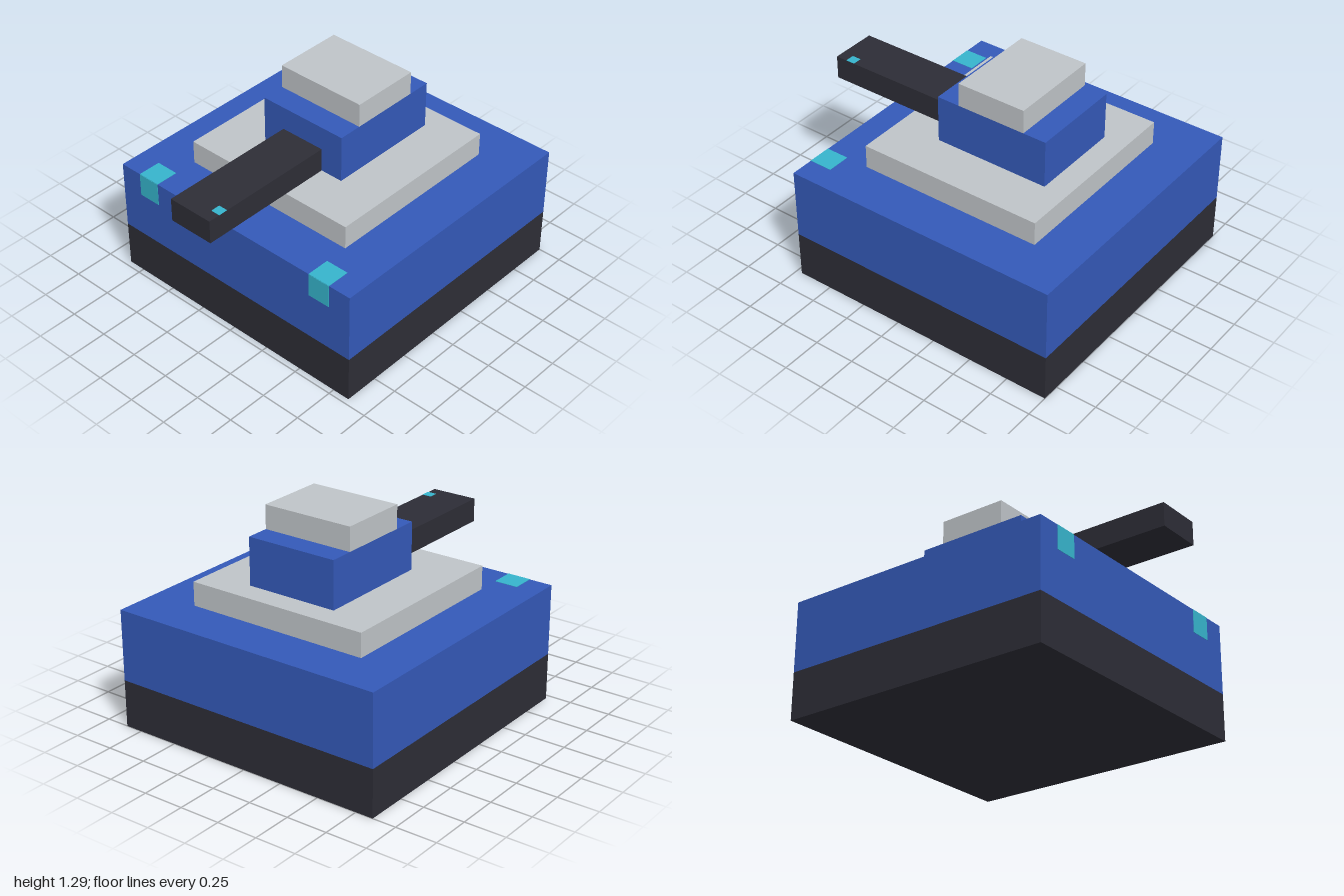
import * as THREE from 'three';

const U = 1 / 7; // block size

function material(name, color) {
  const m = new THREE.MeshStandardMaterial({ color });
  m.name = name;
  return m;
}

export function createModel() {
  const model = new THREE.Group();
  model.name = 'blockTank';
  const blue = material('blue', 0x3459b8);
  const grey = material('lightGrey', 0xbfc4c8);
  const dark = material('charcoal', 0x2d2d36);
  const cyan = material('cyan', 0x36b4cc);

  // Box between two corners given in block units
  function block(name, mat, [x0, y0, z0], [x1, y1, z1], parent = model) {
    const geo = new THREE.BoxGeometry((x1 - x0) * U, (y1 - y0) * U, (z1 - z0) * U);
    const mesh = new THREE.Mesh(geo, mat);
    mesh.position.set((x0 + x1) / 2 * U, (y0 + y1) / 2 * U, (z0 + z1) / 2 * U);
    mesh.name = name;
    parent.add(mesh);
  }

  // Hull
  block('trackBase', dark, [-6, 0, -7], [6, 2, 5]);
  block('hull', blue, [-6, 2, -7], [6, 5, 5]);
  block('deckPlate', grey, [-4, 5, -5], [4, 6, 3]);

  // Turret and gun
  block('turret', blue, [-2, 6, -4], [2, 8, 1]);
  block('hatch', grey, [-2, 8, -3], [2, 9, 0]);
  block('barrel', dark, [-1, 6, 1], [1, 7, 7]);

  // Headlights wrap over the front top edge as thin plates
  const t = 0.015;
  for (const side of [-1, 1]) {
    const lamp = new THREE.Group();
    lamp.name = side > 0 ? 'leftHeadlight' : 'rightHeadlight';
    const x = side * 4.5;
    block('lampTop', cyan, [x - 0.5, 5, 4], [x + 0.5, 5 + t, 5], lamp);
    block('lampFront', cyan, [x - 0.5, 4, 5], [x + 0.5, 5, 5 + t], lamp);
    model.add(lamp);
  }

  // Small sight mark near the muzzle
  block('muzzleMark', cyan, [0.6, 7, 6.1], [1, 7 + t, 6.5]);

  return model;
}
